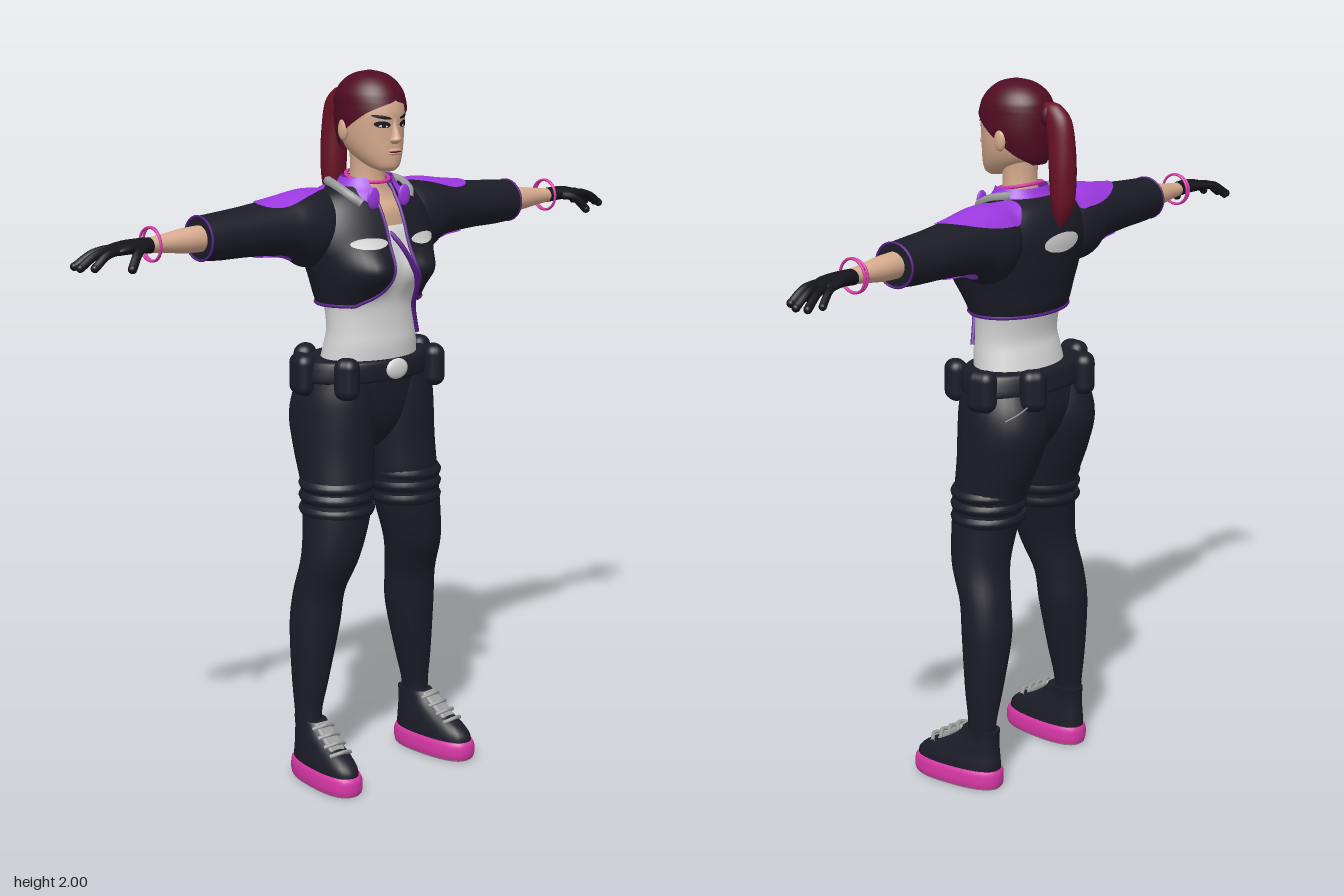
import * as THREE from 'three';
import { RoundedBoxGeometry } from 'three/addons/geometries/RoundedBoxGeometry.js';

const V = (x, y, z) => new THREE.Vector3(x, y, z);
const material = (name, color, side = THREE.FrontSide) =>
  Object.assign(new THREE.MeshStandardMaterial({ color, side }), { name });

// Smooth interpolation of table rows at position s in 0..1
function sample(rows, s) {
  const f = s * (rows.length - 1), i = Math.min(Math.floor(f), rows.length - 2), t = f - i;
  const r = k => rows[Math.max(0, Math.min(rows.length - 1, k))];
  return rows[0].map((_, c) => {
    const [a, b, d, e] = [r(i - 1)[c], r(i)[c], r(i + 1)[c], r(i + 2)[c]];
    return b + 0.5 * t * (d - a + t * (2 * a - 5 * b + 4 * d - e + t * (3 * (b - d) + e - a)));
  });
}

// Loft of ellipses along an axis. Row: [t, aMin, aMax, bMin, bMax, gap, gap].
// Axis y: a = x, b = z. Axis x: a = z, b = y. The gaps are angles left open at the front.
function loft(rows, { axis = 'y', seg = 28, n = 24, pow = 1, warp } = {}) {
  const open = rows[0].length > 5, cols = open ? seg + 1 : seg, pos = [], idx = [];
  const put = (t, a, b) => {
    const v = axis === 'y' ? V(a, t, b) : V(t, b, a);
    if (warp) warp(v);
    pos.push(v.x, v.y, v.z);
  };
  const bend = c => Math.sign(c) * Math.abs(c) ** pow;
  const ring = s => {
    const [t, a0, a1, b0, b1, g0 = 0, g1 = 0] = sample(rows, s);
    const start = open ? Math.PI / 2 + Math.max(0, g0) : 0;
    const span = Math.PI * 2 - (open ? Math.max(0, g0) + Math.max(0, g1) : 0);
    for (let j = 0; j < cols; j++) {
      const q = start + span * j / seg;
      put(t, (a0 + a1) / 2 + (a1 - a0) / 2 * bend(Math.cos(q)), (b0 + b1) / 2 + (b1 - b0) / 2 * bend(Math.sin(q)));
    }
  };
  for (let i = 0; i <= n; i++) ring(i / n);
  for (let i = 0; i < n; i++) for (let j = 0; j < seg; j++) {
    const a = i * cols + j, b = i * cols + (j + 1) % cols;
    idx.push(a, a + cols, b, b, a + cols, b + cols);
  }
  if (!open) for (const s of [0, 1]) {
    const base = pos.length / 3, [t, a0, a1, b0, b1] = sample(rows, s);
    ring(s);
    put(t, (a0 + a1) / 2, (b0 + b1) / 2);
    for (let j = 0; j < seg; j++) {
      const p = base + j, q = base + (j + 1) % seg;
      idx.push(...(s ? [base + seg, q, p] : [base + seg, p, q]));
    }
  }
  const g = new THREE.BufferGeometry();
  g.setAttribute('position', new THREE.Float32BufferAttribute(pos, 3));
  g.setIndex(idx);
  g.computeVertexNormals();
  return g;
}

const tube = (pts, r, n = 24) => new THREE.TubeGeometry(new THREE.CatmullRomCurve3(pts), n, r, 6);
const ball = (x, y, z, sx, sy, sz) => new THREE.SphereGeometry(1, 20, 14).scale(sx, sy, sz).translate(x, y, z);

function mirrored(geo) {
  const g = geo.clone();
  if (!g.index) g.setIndex([...Array(g.attributes.position.count).keys()]);
  g.applyMatrix4(new THREE.Matrix4().makeScale(-1, 1, 1));
  for (let i = 0; i < g.index.count; i += 3) {
    const a = g.index.getX(i);
    g.index.setX(i, g.index.getX(i + 1));
    g.index.setX(i + 1, a);
  }
  return g;
}

// Surface point found by looking along an axis at the target meshes
function project(targets, dir, x, p) {
  const d = { front: V(0, 0, 1), back: V(0, 0, -1), top: V(0, 1, 0), under: V(0, -1, 0) }[dir];
  const from = d.z ? V(x, p, 0) : V(x, 1.58, p);
  const hit = new THREE.Raycaster(from.clone().addScaledVector(d, 3), d.clone().negate()).intersectObjects(targets)[0];
  return { point: hit ? hit.point : from, d };
}

// Thin oval patch lying on a surface
function patch(targets, dir, cx, cp, ru, rv, rot = 0, lift = 0.003) {
  const g = new THREE.RingGeometry(0.001, 1, 36, 6).scale(ru, rv, 1).rotateZ(rot), pos = g.attributes.position;
  const su = dir === 'back' ? -1 : 1, sv = dir === 'top' ? -1 : 1;
  for (let i = 0; i < pos.count; i++) {
    const { point, d } = project(targets, dir, cx + su * pos.getX(i), cp + sv * pos.getY(i));
    point.addScaledVector(d, lift);
    pos.setXYZ(i, point.x, point.y, point.z);
  }
  g.computeVertexNormals();
  return g;
}

export function createModel() {
  const model = new THREE.Group();
  model.name = 'figure';
  const two = THREE.DoubleSide;
  const cloth = material('charcoal cloth', 0x1c1c28, two), black = material('black', 0x14141b);
  const purple = material('purple', 0x9b38e0, two), trim = material('dark purple trim', 0x5c1f8c);
  const white = material('white', 0xd6d6d6), grey = material('grey', 0x9c9c9c), skin = material('skin', 0xd6aa8e);
  const hair = material('dark red hair', 0x500c22, two), lock = material('red hair', 0x681026), pink = material('magenta', 0xd838a6);
  const add = (name, mat, geo) => {
    const m = new THREE.Mesh(geo, mat);
    m.name = name;
    model.add(m);
    return m;
  };
  const pair = (name, mat, geo) => {
    add(name + 'Right', mat, mirrored(geo));
    return add(name + 'Left', mat, geo);
  };

  // Legs and hips
  pair('leg', cloth, loft([[.13, .168, .235, -.07, .015], [.2, .165, .238, -.075, .012], [.3, .14, .245, -.088, .025],
    [.45, .105, .25, -.1, .04], [.55, .095, .245, -.09, .052], [.65, .07, .236, -.072, .092], [.75, .04, .228, -.08, .105],
    [.85, .018, .222, -.1, .105], [.95, .003, .222, -.14, .1], [1.04, -.005, .222, -.166, .1], [1.11, -.005, .215, -.155, .098],
    [1.17, .01, .195, -.125, .09]], { n: 50 }));
  add('hips', cloth, loft([[.95, -.04, .04, -.06, .025], [.99, -.11, .11, -.1, .06], [1.04, -.18, .18, -.13, .083],
    [1.11, -.21, .21, -.145, .096], [1.2, -.19, .19, -.13, .1]]));
  for (const y of [.79, .828, .862])
    pair('thighStrap', cloth, loft([[y - .015, .026, .224, -.092, .106], [y, .016, .232, -.102, .112], [y + .015, .018, .224, -.099, .106]], { n: 6 }));

  // Belt, buckle and pouches
  add('belt', cloth, loft([[1.155, -.208, .208, -.152, .112], [1.165, -.215, .215, -.157, .118], [1.205, -.205, .205, -.15, .118],
    [1.215, -.195, .195, -.143, .11]], { seg: 40, n: 9 }));
  add('buckle', white, ball(0, 1.188, .118, .038, .029, .012));
  for (const [x, z, w] of [[.158, .092, .07], [.208, -.04, .085], [.115, -.145, .075]])
    pair('pouch', cloth, new RoundedBoxGeometry(w, .118, .06, 5, .028).rotateY(Math.atan2(x, z)).translate(x, 1.175, z));
  add('beltWire', grey, tube([V(.13, 1.14, -.15), V(.18, 1.125, -.15), V(.24, 1.115, -.147)], .002, 6));

  // Torso, with the bust shaped by a rule
  const warp = v => {
    if (v.z > 0) v.z += .052 * Math.min(1, v.z / .06) *
      Math.exp(-(((Math.abs(v.x) - .09) / .065) ** 2) - ((v.y - 1.465) / .055) ** 2);
  };
  const tank = add('tankTop', white, loft([[1.18, -.155, .155, -.12, .1], [1.25, -.145, .145, -.102, .105], [1.3, -.14, .14, -.09, .1],
    [1.37, -.145, .145, -.1, .098], [1.43, -.165, .165, -.115, .108], [1.49, -.18, .18, -.125, .112], [1.55, -.17, .17, -.13, .105],
    [1.58, -.14, .14, -.115, .09], [1.6, -.09, .09, -.08, .06]], { seg: 48, n: 40, warp }));
  add('neck', skin, loft([[1.55, -.15, .15, -.1, .09], [1.62, -.13, .13, -.1, .082], [1.655, -.09, .09, -.08, .055],
    [1.69, -.055, .055, -.062, .042], [1.73, -.048, .048, -.056, .04], [1.79, -.05, .05, -.06, .045]]));

  // Cropped jacket, open at the front
  const seg = 64, n = 40;
  const shell = loft([[1.37, -.165, .165, -.12, .11, .8, .62], [1.4, -.175, .175, -.128, .118, .42, .42],
    [1.44, -.187, .187, -.135, .124, .24, .3], [1.48, -.2, .2, -.143, .127, .17, .2], [1.53, -.213, .213, -.15, .125, .16, .16],
    [1.58, -.212, .212, -.155, .113, .16, .16], [1.63, -.195, .195, -.147, .09, .18, .18], [1.665, -.165, .165, -.13, .066, .22, .22],
    [1.69, -.11, .11, -.1, .045, .35, .35]], { seg, n, warp });
  const jacket = add('jacket', cloth, shell);
  const at = (i, j) => new THREE.Vector3().fromBufferAttribute(shell.attributes.position, i * (seg + 1) + j);
  const edge = [];
  for (let i = n; i > 0; i -= 2) edge.push(at(i, 0));
  for (let j = 0; j <= seg; j += 2) edge.push(at(0, j));
  for (let i = 2; i <= n; i += 2) edge.push(at(i, seg));
  add('jacketTrim', trim, tube(edge, .005, 180));
  const sleeve = pair('sleeve', cloth, loft([[.11, -.11, .03, 1.53, 1.675], [.16, -.135, .055, 1.48, 1.684], [.21, -.138, .06, 1.475, 1.685],
    [.25, -.132, .055, 1.5, 1.68], [.3, -.125, .045, 1.515, 1.672], [.4, -.115, .036, 1.523, 1.66], [.5, -.104, .03, 1.525, 1.652],
    [.555, -.1, .026, 1.53, 1.648]], { axis: 'x', n: 36, seg: 36 }));
  pair('cuffTrim', trim, new THREE.TorusGeometry(.06, .0035, 6, 36).rotateY(Math.PI / 2).scale(1, .98, 1.03).translate(.555, 1.589, -.037));
  const coat = [jacket, sleeve];
  pair('shoulderPatch', purple, patch(coat, 'top', .238, -.053, .138, .064, -.26, .004));
  pair('underarmPatch', purple, patch([sleeve], 'under', .31, -.045, .062, .045, 0, .004));
  pair('chestPatch', white, patch([jacket], 'front', .095, 1.545, .052, .015, 0, .005));
  add('backPatch', white, patch([jacket], 'back', 0, 1.57, .074, .027, 0, .005));
  add('frontStrap', trim, tube([[-.03, 1.61], [0, 1.55], [.035, 1.48], [.065, 1.42], [.09, 1.35], [.12, 1.27]]
    .map(([x, y]) => project([tank], 'front', x, y).point.add(V(0, 0, .006))), .007));

  // Collar with lapels, lining and choker
  add('collar', purple, loft([[1.635, -.125, .125, -.115, .09, .3, .3], [1.665, -.115, .115, -.11, .08, .36, .36],
    [1.69, -.09, .09, -.09, .062, .45, .45], [1.712, -.078, .078, -.08, .052, .6, .6]], { n: 10, seg: 36 }));
  pair('lapel', purple, ball(.055, 1.662, .082, .021, .03, .008));
  pair('collarLining', grey, tube([V(.085, 1.648, .068), V(.105, 1.668, .045), V(.112, 1.688, 0), V(.1, 1.7, -.06)], .013));
  add('choker', pink, new THREE.TorusGeometry(.06, .005, 8, 32).rotateX(Math.PI / 2 + .2).translate(0, 1.71, -.01));

  // Forearms, bracelets and gloves
  pair('forearm', skin, loft([[.5, -.072, .002, 1.553, 1.626], [.6, -.07, 0, 1.555, 1.622], [.68, -.06, -.01, 1.565, 1.612],
    [.74, -.056, -.014, 1.57, 1.606]], { axis: 'x' }));
  for (const [x, tilt] of [[.706, .06], [.712, -.06]])
    pair('bracelet', pink, new THREE.TorusGeometry(.044, .0035, 8, 28).rotateY(Math.PI / 2 + tilt).translate(x, 1.59, -.035));
  pair('glove', black, loft([[.715, -.06, -.01, 1.567, 1.609], [.75, -.063, -.006, 1.57, 1.61], [.79, -.075, .003, 1.572, 1.608],
    [.825, -.08, .002, 1.572, 1.6], [.845, -.065, -.015, 1.577, 1.593]], { axis: 'x', n: 14 }));
  for (const [x0, z0, x1, z1, y1, r] of [[.81, -.065, .885, -.092, 1.553, .01], [.82, -.052, .92, -.075, 1.55, .011],
    [.825, -.033, .925, -.04, 1.55, .011], [.82, -.012, .905, -.004, 1.552, .011], [.75, -.005, .815, .032, 1.545, .012]]) {
    pair('finger', black, tube([V(x0, 1.588, z0), V((x0 + x1) / 2, 1.581, (z0 + z1) / 2), V(x1, y1, z1)], r, 8));
    pair('fingertip', black, ball(x1, y1, z1, r, r, r));
  }

  // Head and face
  const head = add('head', skin, loft([[1.732, -.02, .02, .055, .092], [1.745, -.042, .042, .01, .105], [1.775, -.064, .064, -.05, .108],
    [1.81, -.077, .077, -.08, .107], [1.85, -.083, .083, -.092, .107], [1.89, -.084, .084, -.094, .108], [1.93, -.079, .079, -.085, .095],
    [1.965, -.06, .06, -.065, .07], [1.985, -.02, .02, -.02, .03]], { seg: 40, n: 40 }));
  add('nose', skin, loft([[1.808, -.01, .01, .095, .112], [1.818, -.017, .017, .09, .127], [1.83, -.012, .012, .09, .124],
    [1.855, -.009, .009, .09, .114], [1.88, -.009, .009, .09, .108]], { n: 14, seg: 16 }));
  pair('ear', skin, ball(.087, 1.843, -.008, .011, .03, .018));
  for (const y of [1.782, 1.79]) add('lip', skin, ball(0, y, .106, .023, .005, .007));
  add('mouthLine', lock, patch([head], 'front', 0, 1.786, .022, .002, 0, .005));
  pair('eyelid', black, patch([head], 'front', .036, 1.861, .02, .009, .12, .002));
  pair('eye', white, patch([head], 'front', .036, 1.857, .011, .0035, .1, .004));
  pair('iris', black, patch([head], 'front', .036, 1.858, .005, .005, 0, .006));
  pair('eyebrow', black, patch([head], 'front', .038, 1.881, .024, .0045, .2, .003));

  // Hair and ponytail
  add('hair', hair, loft([[1.775, -.06, .06, -.088, .08, 2.6, 2.6], [1.8, -.078, .078, -.1, .11, 2.1, 2.1],
    [1.84, -.089, .089, -.105, .115, 1.62, 1.62], [1.87, -.092, .092, -.107, .115, 1.22, 1.22], [1.895, -.092, .092, -.107, .115, .85, .85],
    [1.912, -.091, .091, -.106, .112, .4, .4], [1.925, -.09, .09, -.104, .108, 0, 0], [1.945, -.085, .085, -.099, .1, 0, 0],
    [1.97, -.069, .069, -.08, .08, 0, 0], [1.99, -.042, .042, -.048, .05, 0, 0], [2, -.003, .003, -.003, .008, 0, 0]], { seg: 44, n: 50 }));
  add('ponytail', lock, loft([[1.61, -.01, .01, -.155, -.14], [1.66, -.03, .03, -.183, -.125], [1.74, -.037, .037, -.192, -.118],
    [1.83, -.034, .034, -.19, -.112], [1.9, -.03, .03, -.178, -.1], [1.935, -.02, .02, -.15, -.085], [1.945, -.008, .008, -.13, -.09]]));
  add('hairTie', hair, new THREE.TorusGeometry(.024, .01, 8, 20).translate(0, 1.91, -.11));

  // Shoes, turned slightly outward
  const shoe = (name, mat, geo) => pair(name, mat, geo.translate(-.2, 0, 0).rotateY(.09).translate(.2, 0, 0));
  shoe('soleBottom', grey, loft([[0, .145, .255, -.085, .188], [.006, .142, .258, -.088, .192]], { n: 2, pow: .8 }));
  shoe('sole', pink, loft([[.005, .141, .259, -.088, .193], [.02, .138, .262, -.091, .197], [.045, .139, .261, -.091, .196],
    [.056, .143, .257, -.087, .19]], { n: 9, pow: .8 }));
  shoe('shoeUpper', cloth, loft([[.05, .147, .254, -.085, .188], [.075, .149, .252, -.085, .182], [.1, .153, .247, -.083, .152],
    [.125, .158, .243, -.081, .1], [.15, .162, .239, -.08, .055], [.175, .163, .238, -.082, .03]], { n: 20, pow: .85 }));
  shoe('tongue', grey, new RoundedBoxGeometry(.05, .016, .105, 2, .007).rotateX(.62).translate(.2, .142, .068));
  for (let i = 0; i < 4; i++) {
    const y = .114 + i * .018, z = .136 - i * .029;
    shoe('lace', grey, tube([V(.165, y - .006, z - .014), V(.2, y + .005, z + .002), V(.235, y - .006, z - .014)], .006, 8));
  }
  return model;
}
